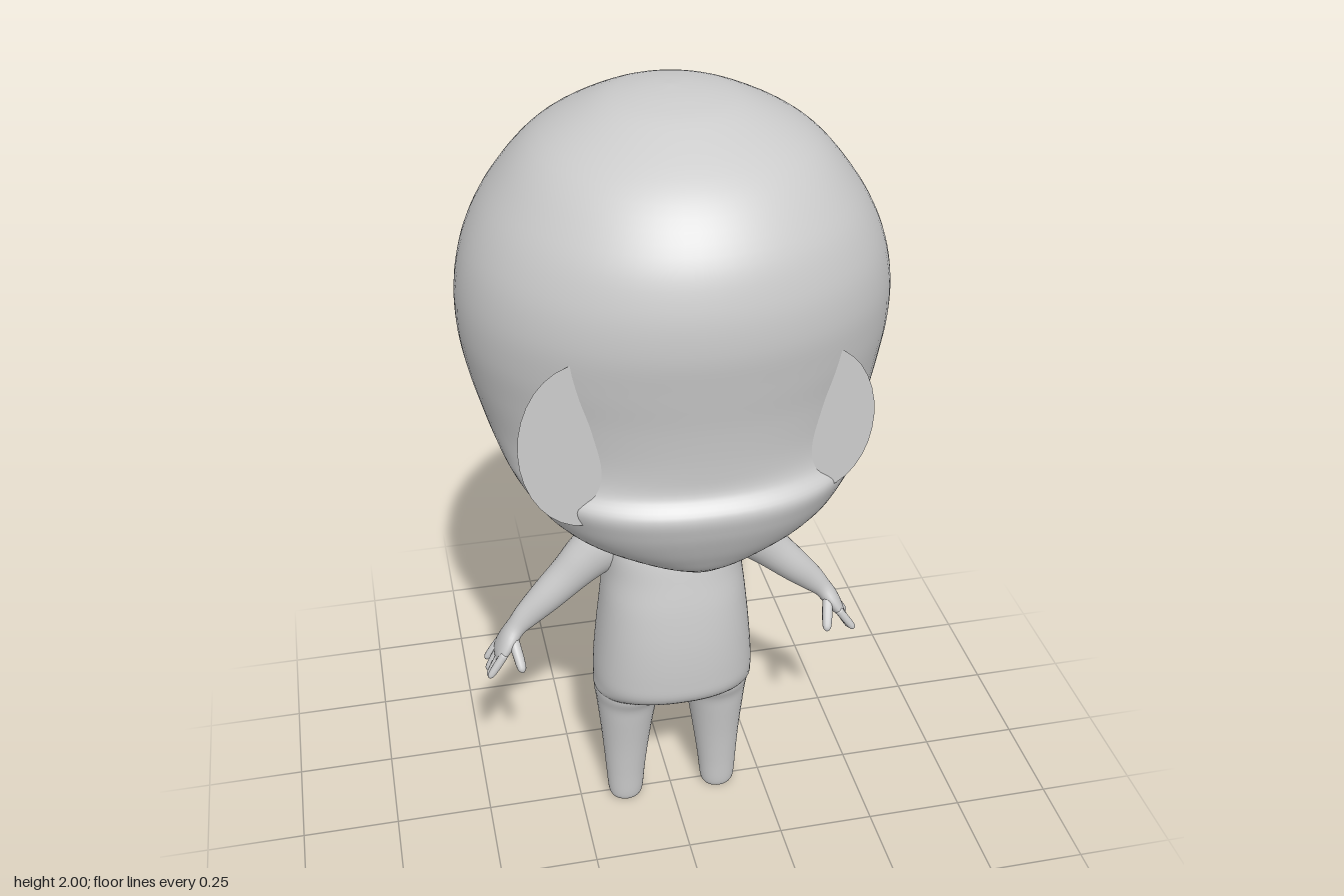
import * as THREE from 'three';

const skin = new THREE.MeshStandardMaterial({ color: 0xcccccc });
skin.name = 'plain grey';
const eyeGrey = new THREE.MeshStandardMaterial({ color: 0xcccccc, side: THREE.DoubleSide });
eyeGrey.name = 'eye plate grey';

// Smooth interpolation through rows of numbers
function refine(rows, steps) {
  const out = [];
  for (let i = 0; i < rows.length - 1; i++) {
    const a = rows[Math.max(i - 1, 0)], b = rows[i], c = rows[i + 1], d = rows[Math.min(i + 2, rows.length - 1)];
    for (let s = 0; s < steps; s++) {
      const t = s / steps, t2 = t * t, t3 = t2 * t;
      out.push(b.map((_, k) => 0.5 * (2 * b[k] + (c[k] - a[k]) * t
        + (2 * a[k] - 5 * b[k] + 4 * c[k] - d[k]) * t2 + (3 * b[k] - a[k] - 3 * c[k] + d[k]) * t3)));
    }
  }
  out.push(rows[rows.length - 1]);
  return out;
}

// Closed skin over a series of rings
function skinRings(name, rings) {
  const n = rings[0].length, last = rings.length - 1, pos = [], idx = [];
  rings.forEach(r => r.forEach(p => pos.push(p.x, p.y, p.z)));
  for (let i = 0; i < last; i++) {
    for (let j = 0; j < n; j++) {
      const k = (j + 1) % n, a = i * n + j, b = i * n + k;
      idx.push(a, b, b + n, a, b + n, a + n);
    }
  }
  [0, last].forEach(i => {
    const mid = new THREE.Vector3();
    rings[i].forEach(p => mid.addScaledVector(p, 1 / n));
    const m = pos.length / 3;
    pos.push(mid.x, mid.y, mid.z);
    for (let j = 0; j < n; j++) {
      const a = i * n + j, b = i * n + (j + 1) % n;
      if (i === 0) idx.push(m, b, a); else idx.push(m, a, b);
    }
  });
  const g = new THREE.BufferGeometry();
  g.setAttribute('position', new THREE.Float32BufferAttribute(pos, 3));
  g.setIndex(idx);
  g.computeVertexNormals();
  const mesh = new THREE.Mesh(g, skin);
  mesh.name = name;
  return mesh;
}

// Level sections, top to bottom: [y, half width, front z, back z, z of widest point, squareness, centre x]
function loft(name, rows, sides = 64) {
  return skinRings(name, refine(rows, 5).map(([y, w, zf, zb, zc, e, cx = 0]) =>
    Array.from({ length: sides }, (_, j) => {
      const a = j / sides * Math.PI * 2, c = Math.cos(a), s = Math.sin(a);
      const p = 2 / (s > 0 ? e : 2);
      const x = Math.sign(c) * Math.abs(c) ** p, z = Math.abs(s) ** p;
      return new THREE.Vector3(cx + w * x, y, zc + z * (s > 0 ? zf - zc : zb - zc));
    })));
}

// Limb along a path: [x, y, z, thickness radius, breadth radius]
function limb(name, side, rows, sides = 20) {
  const pts = refine(rows, 4).map(r => [r[0] * side, ...r.slice(1)]);
  const at = i => new THREE.Vector3(...pts[Math.min(Math.max(i, 0), pts.length - 1)].slice(0, 3));
  return skinRings(name, pts.map((r, i) => {
    const t = at(i + 1).sub(at(i - 1)).normalize();
    const n = t.clone().cross(new THREE.Vector3(0, 0, 1)).normalize();
    const b = t.clone().cross(n);
    return Array.from({ length: sides }, (_, j) => {
      const a = j / sides * Math.PI * 2;
      return at(i).addScaledVector(n, Math.cos(a) * r[3]).addScaledVector(b, Math.sin(a) * r[4]);
    });
  }));
}

function digit(name, side, a, b, r) {
  const mix = t => a.map((v, k) => v + (b[k] - v) * t);
  return limb(name, side, [
    [...mix(0), r, r], [...mix(0.5), r, r], [...mix(0.85), r * 0.85, r * 0.85],
    [...mix(0.96), r * 0.5, r * 0.5], [...mix(1), r * 0.1, r * 0.1],
  ], 12);
}

export function createModel() {
  const model = new THREE.Group();
  model.name = 'bigHeadedFigure';

  // Head, with a flat jaw running into the neck
  model.add(loft('head', [
    [2.0, 0.005, 0.01, -0.005, 0, 2],
    [1.993, 0.09, 0.1, -0.08, 0.01, 2],
    [1.97, 0.18, 0.2, -0.17, 0.02, 2],
    [1.9, 0.31, 0.345, -0.3, 0.03, 2],
    [1.8, 0.4, 0.435, -0.4, 0.03, 2],
    [1.7, 0.457, 0.472, -0.457, 0.03, 2],
    [1.6, 0.485, 0.48, -0.48, 0.03, 2],
    [1.5, 0.49, 0.467, -0.478, 0.03, 2],
    [1.4, 0.476, 0.452, -0.455, 0.03, 2],
    [1.3, 0.45, 0.443, -0.405, 0.04, 2.05],
    [1.24, 0.43, 0.445, -0.352, 0.06, 2.2],
    [1.2, 0.413, 0.474, -0.305, 0.07, 2.35],
    [1.15, 0.385, 0.466, -0.225, 0.09, 2.35],
    [1.1, 0.347, 0.447, -0.135, 0.12, 2.3],
    [1.05, 0.285, 0.422, -0.085, 0.14, 2.2],
    [1.0, 0.175, 0.387, -0.063, 0.14, 2.1],
    [0.975, 0.09, 0.33, -0.057, 0.1, 2],
    [0.965, 0.066, 0.12, -0.055, 0.03, 2],
    [0.95, 0.066, 0.085, -0.055, 0.02, 2],
    [0.92, 0.075, 0.08, -0.055, 0.02, 2],
  ], 80));

  // Torso with round belly and seat
  model.add(loft('torso', [
    [0.956, 0.06, 0.08, -0.05, 0.015, 2],
    [0.945, 0.11, 0.085, -0.057, 0.015, 2.1],
    [0.93, 0.15, 0.098, -0.068, 0.015, 2.2],
    [0.9, 0.172, 0.117, -0.085, 0.015, 2.2],
    [0.85, 0.176, 0.14, -0.1, 0.015, 2.2],
    [0.78, 0.176, 0.156, -0.099, 0.015, 2.2],
    [0.7, 0.185, 0.171, -0.09, 0.015, 2.3],
    [0.6, 0.196, 0.182, -0.11, 0.015, 2.3],
    [0.5, 0.205, 0.184, -0.132, 0.015, 2.3],
    [0.44, 0.207, 0.177, -0.127, 0.015, 2.3],
    [0.4, 0.205, 0.137, -0.102, 0.015, 2.3],
    [0.37, 0.17, 0.095, -0.07, 0.015, 2.2],
    [0.352, 0.07, 0.05, -0.035, 0.01, 2],
  ]));

  // Flat eye plates standing out of the cheeks
  [['rightEye', -0.27, 1.365, 0.14, 0.2], ['leftEye', 0.245, 1.365, 0.125, 0.18]].forEach(([name, x, y, rx, ry]) => {
    const eye = new THREE.Mesh(new THREE.CircleGeometry(1, 32), eyeGrey);
    eye.name = name;
    eye.scale.set(rx, ry, 1);
    eye.position.set(x, y, 0.388);
    model.add(eye);
  });

  [[1, 'left'], [-1, 'right']].forEach(([side, label]) => {
    // Tapered leg with a small rounded foot
    model.add(loft(label + 'Leg', [
      [0.47, 0.085, 0.1, -0.1, 0.01, 2, 0.115],
      [0.4, 0.093, 0.11, -0.09, 0.01, 2, 0.113],
      [0.35, 0.083, 0.093, -0.073, 0.01, 2, 0.118],
      [0.3, 0.075, 0.085, -0.063, 0.01, 2, 0.121],
      [0.2, 0.063, 0.071, -0.05, 0.01, 2, 0.124],
      [0.1, 0.053, 0.061, -0.036, 0.013, 2, 0.127],
      [0.03, 0.047, 0.056, -0.024, 0.016, 2, 0.128],
      [0.008, 0.04, 0.051, -0.018, 0.018, 2, 0.128],
      [0, 0.03, 0.043, -0.008, 0.018, 2, 0.128],
    ].map(r => [...r.slice(0, 6), r[6] * side]), 32));

    // Arm flowing into a flat palm
    const arm = new THREE.Group();
    arm.name = label + 'Arm';
    arm.add(limb('armAndPalm', side, [
      [0.1, 0.885, 0.015, 0.05, 0.05],
      [0.155, 0.858, 0.015, 0.073, 0.062],
      [0.21, 0.815, 0.015, 0.062, 0.055],
      [0.26, 0.765, 0.015, 0.051, 0.047],
      [0.32, 0.705, 0.015, 0.043, 0.04],
      [0.37, 0.655, 0.015, 0.034, 0.031],
      [0.4, 0.622, 0.015, 0.025, 0.03],
      [0.423, 0.59, 0.018, 0.022, 0.042],
      [0.443, 0.558, 0.018, 0.016, 0.046],
      [0.453, 0.541, 0.018, 0.008, 0.038],
    ], 28));
    // Four fingers and a thumb
    [[0.054, 0.062, 0.505], [0.031, 0.034, 0.488], [0.007, 0.007, 0.488], [-0.016, -0.019, 0.503]].forEach(([z0, z1, y]) =>
      arm.add(digit('finger', side, [0.437, 0.568, z0], [0.481, y, z1], 0.0105)));
    arm.add(digit('thumb', side, [0.412, 0.602, 0.036], [0.397, 0.532, 0.092], 0.0135));
    model.add(arm);
  });

  return model;
}
